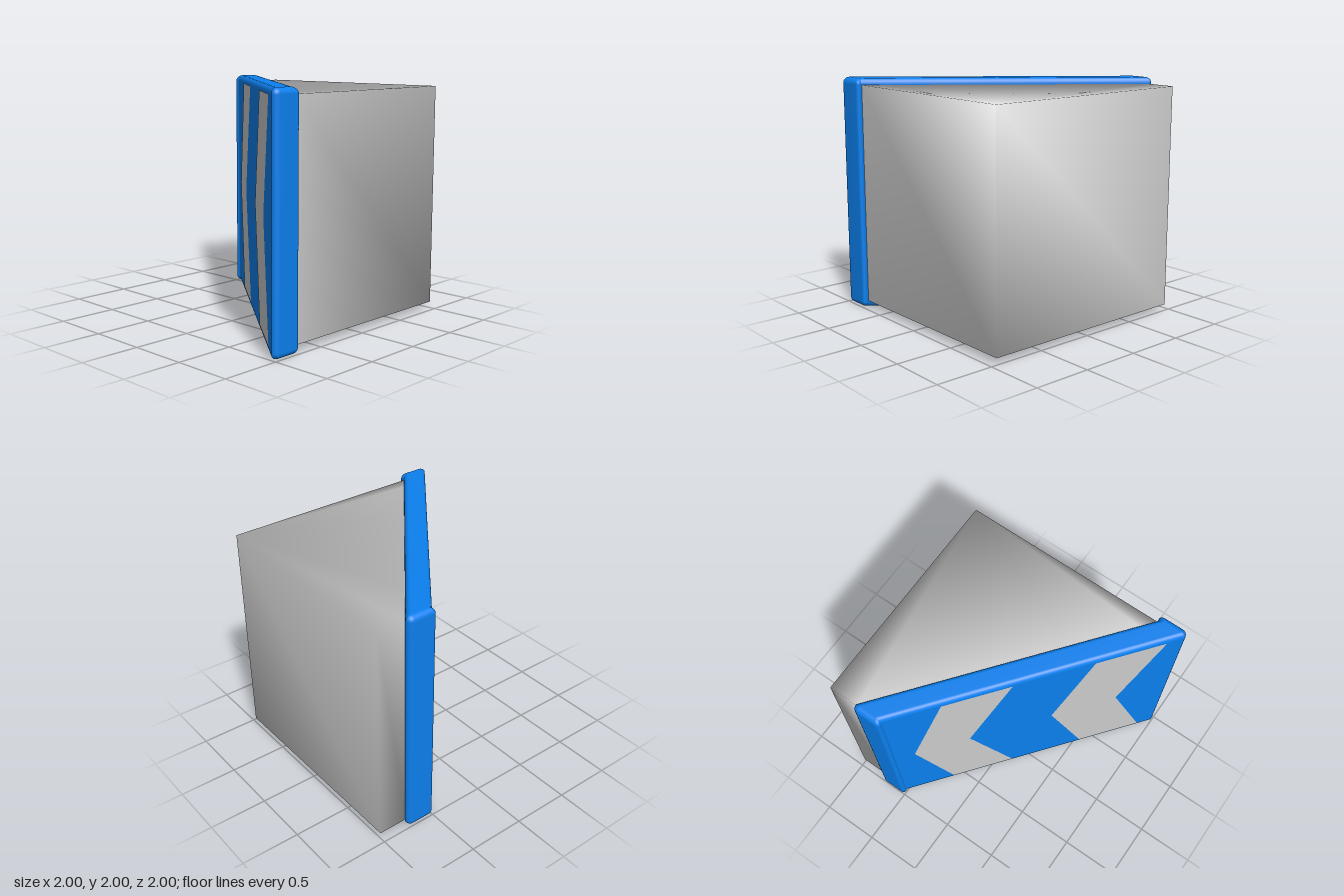
import * as THREE from 'three';
import { mergeVertices } from 'three/addons/utils/BufferGeometryUtils.js';
import { RoundedBoxGeometry } from 'three/addons/geometries/RoundedBoxGeometry.js';

const SLOPE = 0.75 / 0.95; // z run of the slanted panel per unit of x
const THICK = 0.245;       // panel depth along z
const EDGE = 0.05;         // panel edge radius
const LOW = 0.055, HIGH = 1.945;

const grey = new THREE.MeshStandardMaterial({ color: 0xcccccc });
const blue = new THREE.MeshStandardMaterial({ color: 0x0c80ee });

// Share vertices so that the normals run smoothly over the surface
function smooth(geometry) {
  geometry.deleteAttribute('normal');
  geometry.deleteAttribute('uv');
  const merged = mergeVertices(geometry, 1e-4);
  merged.computeVertexNormals();
  return merged;
}

function addMesh(group, name, geometry, material) {
  const mesh = new THREE.Mesh(geometry, material);
  mesh.name = name;
  group.add(mesh);
}

// Rounded square slab, sheared along z; the end edges keep their own rounding
function panelGeometry() {
  const geometry = new RoundedBoxGeometry(2, 2, THICK, 4, EDGE);
  const p = geometry.attributes.position;
  for (let i = 0; i < p.count; i++) {
    const x = p.getX(i), z = p.getZ(i);
    const flatX = THREE.MathUtils.clamp(x, EDGE - 1, 1 - EDGE);
    const blunt = x * z < 0 ? (flatX - x) * 0.5 : 0;
    p.setXYZ(i, x, p.getY(i) + 1, z + THICK / 2 + SLOPE * flatX + blunt);
  }
  return smooth(geometry);
}

// Wedge-shaped block behind the panel
function bodyGeometry() {
  const stops = [-0.95, -0.59, -0.145, 0.38, 0.835, 0.95];
  const outline = [
    ...stops.map((x) => new THREE.Vector2(x, -SLOPE * x - 0.01)),
    new THREE.Vector2(0.95, 1),
    new THREE.Vector2(-0.95, 1),
  ];
  const geometry = new THREE.ExtrudeGeometry(new THREE.Shape(outline), {
    depth: HIGH - LOW, bevelEnabled: false,
  });
  geometry.rotateX(-Math.PI / 2).translate(0, LOW, 0);
  return smooth(geometry);
}

// Arrow stripe lying on the slanted front face
function chevronGeometry(left, right, tipLeft, tipRight) {
  const shape = new THREE.Shape([
    [left, LOW], [right, LOW], [tipRight, 1],
    [right, HIGH], [left, HIGH], [tipLeft, 1],
  ].map(([x, y]) => new THREE.Vector2(x, y)));
  const geometry = new THREE.ShapeGeometry(shape);
  const p = geometry.attributes.position;
  for (let i = 0; i < p.count; i++) p.setZ(i, SLOPE * p.getX(i) + THICK + 0.003);
  geometry.computeVertexNormals();
  return geometry;
}

export function createModel() {
  const group = new THREE.Group();
  group.name = 'chevronSign';
  addMesh(group, 'body', bodyGeometry(), grey);
  addMesh(group, 'panel', panelGeometry(), blue);
  addMesh(group, 'rightChevron', chevronGeometry(-0.59, -0.145, -0.82, -0.44), grey);
  addMesh(group, 'leftChevron', chevronGeometry(0.38, 0.835, 0.13, 0.585), grey);
  return group;
}
